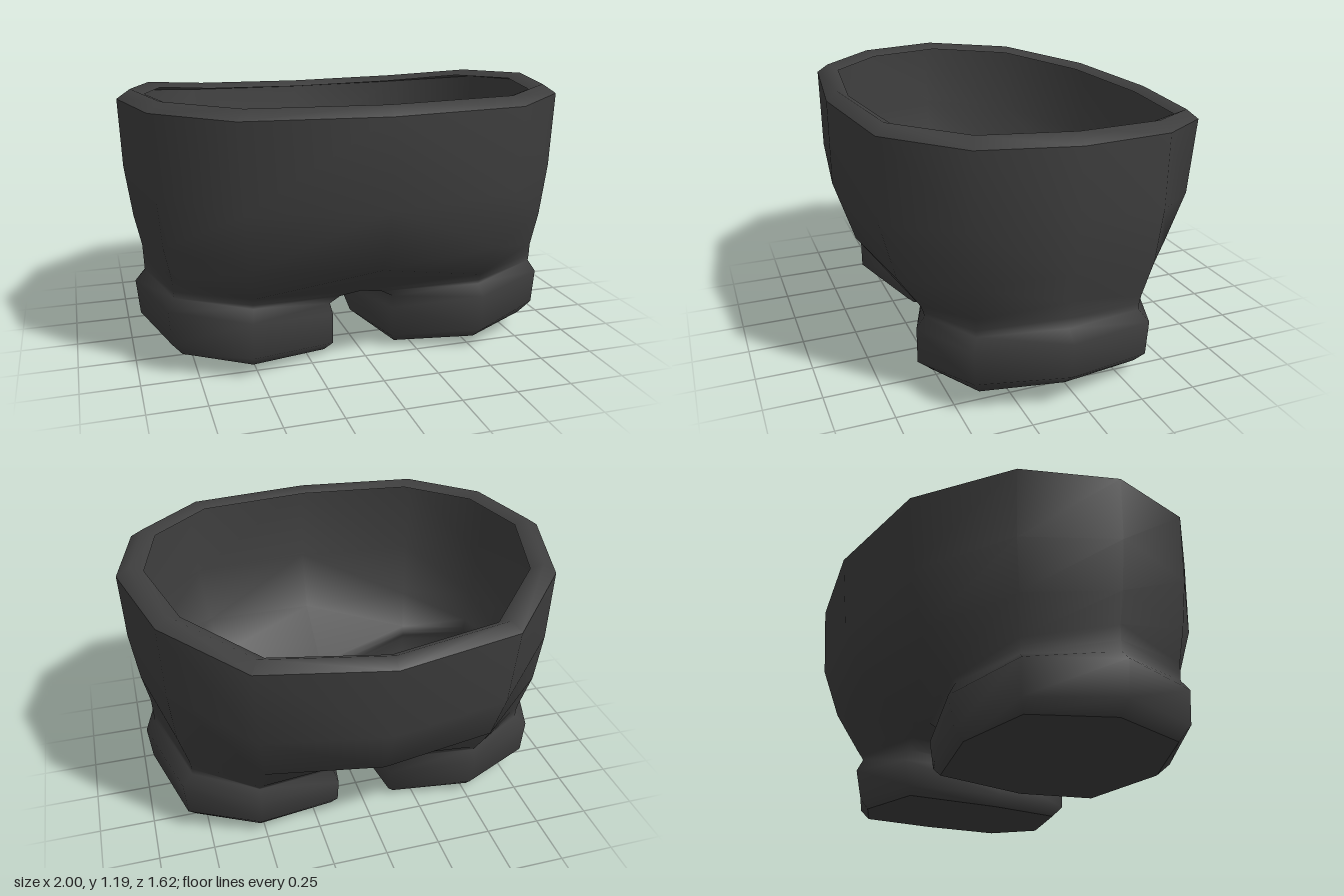
import * as THREE from 'three';
import { mergeVertices } from 'three/addons/utils/BufferGeometryUtils.js';

// A ring runs back centre -> side -> front centre (7 points); an 8th point closes it around a leg.
const ring = (x, y, z) => x.map((v, i) => new THREE.Vector3(v, y[i], z[i]));
const shrink = (r, s, dy) => r.map(p => new THREE.Vector3(p.x * s, p.y + dy, p.z * s));

// Leg rings, from the sole up
const base = ring([.16, .52, .8, .89, .81, .52, .17, .115], [.005, .025, .06, .09, .08, .04, .015, 0], [-.36, -.43, -.32, .06, .41, .52, .41, .06]);
const cuffLow = ring([.13, .52, .84, .955, .855, .53, .14, .065], [.04, .07, .11, .15, .145, .1, .06, .04], [-.38, -.47, -.35, .06, .445, .59, .45, .06]);
const cuffTop = ring([.13, .52, .85, .97, .865, .53, .14, .065], [.16, .21, .27, .31, .3, .26, .2, .155], [-.4, -.5, -.355, .06, .45, .59, .455, .06]);
const neck = ring([.15, .52, .8, .925, .835, .52, .15, .08], [.22, .27, .31, .36, .35, .31, .25, .2], [-.37, -.47, -.33, .06, .43, .55, .44, .06]);
const thigh = ring([.1, .52, .8, .927, .838, .52, .1, .055], [.26, .285, .34, .41, .38, .33, .275, .24], [-.39, -.48, -.33, .06, .43, .555, .43, .06]);

// Body rings
const crotch = ring([0, .52, .805, .93, .84, .52, 0, 0], [.28, .31, .38, .48, .43, .36, .29, .245], [-.41, -.5, -.335, .06, .43, .565, .43, .06]);
const hip = ring([0, .52, .85, .96, .87, .55, 0], [.45, .48, .55, .62, .58, .52, .49], [-.68, -.62, -.36, .06, .44, .67, .72]);
const belly = ring([0, .54, .87, .99, .89, .58, 0], [.69, .71, .79, .85, .82, .78, .77], [-.78, -.7, -.38, .06, .46, .74, .81]);
const waist = ring([0, .56, .88, 1, .905, .6, 0], [1.04, 1.06, 1.12, 1.15, 1.15, 1.15, 1.15], [-.815, -.72, -.38, .06, .46, .74, .81]);
const rimTop = shrink(waist, .94, .04);
const rimInner = shrink(waist, .88, .015);

// Builds both mirrored halves of a stack of rings; a single ring is filled as a sole
function skin(rings) {
  const out = [];
  for (const side of [1, -1]) {
    const tri = (a, b, c) => {
      for (const p of side > 0 ? [a, b, c] : [a, c, b]) out.push(p.x * side, p.y, p.z);
    };
    for (let r = 0; r + 1 < rings.length; r++) {
      const lo = rings[r], hi = rings[r + 1];
      const closed = lo.length === 8 && hi.length === 8;
      for (let i = 0; i < (closed ? 8 : 6); i++) {
        const j = (i + 1) % 8;
        tri(lo[i], hi[i], hi[j]);
        tri(lo[i], hi[j], lo[j]);
      }
    }
    if (rings.length === 1) {
      const r = rings[0], c = new THREE.Vector3();
      r.forEach(p => c.addScaledVector(p, 1 / r.length));
      r.forEach((p, i) => tri(c, p, r[(i + 1) % r.length]));
    }
  }
  const g = new THREE.BufferGeometry();
  g.setAttribute('position', new THREE.Float32BufferAttribute(out, 3));
  const merged = mergeVertices(g, 1e-4);
  merged.computeVertexNormals();
  return merged;
}

export function createModel() {
  const group = new THREE.Group();
  group.name = 'shorts';
  // Thin cloth, seen from inside and outside
  const cloth = new THREE.MeshStandardMaterial({ color: 0x3e3e3e, side: THREE.DoubleSide });
  cloth.name = 'charcoal cloth';
  const add = (name, rings) => {
    const m = new THREE.Mesh(skin(rings), cloth);
    m.name = name;
    group.add(m);
  };
  add('shell', [base, cuffLow, cuffTop, neck, thigh, crotch, hip, belly, waist]);
  add('waistRim', [waist, rimTop, rimInner]);
  add('legSoles', [base]);
  return group;
}
